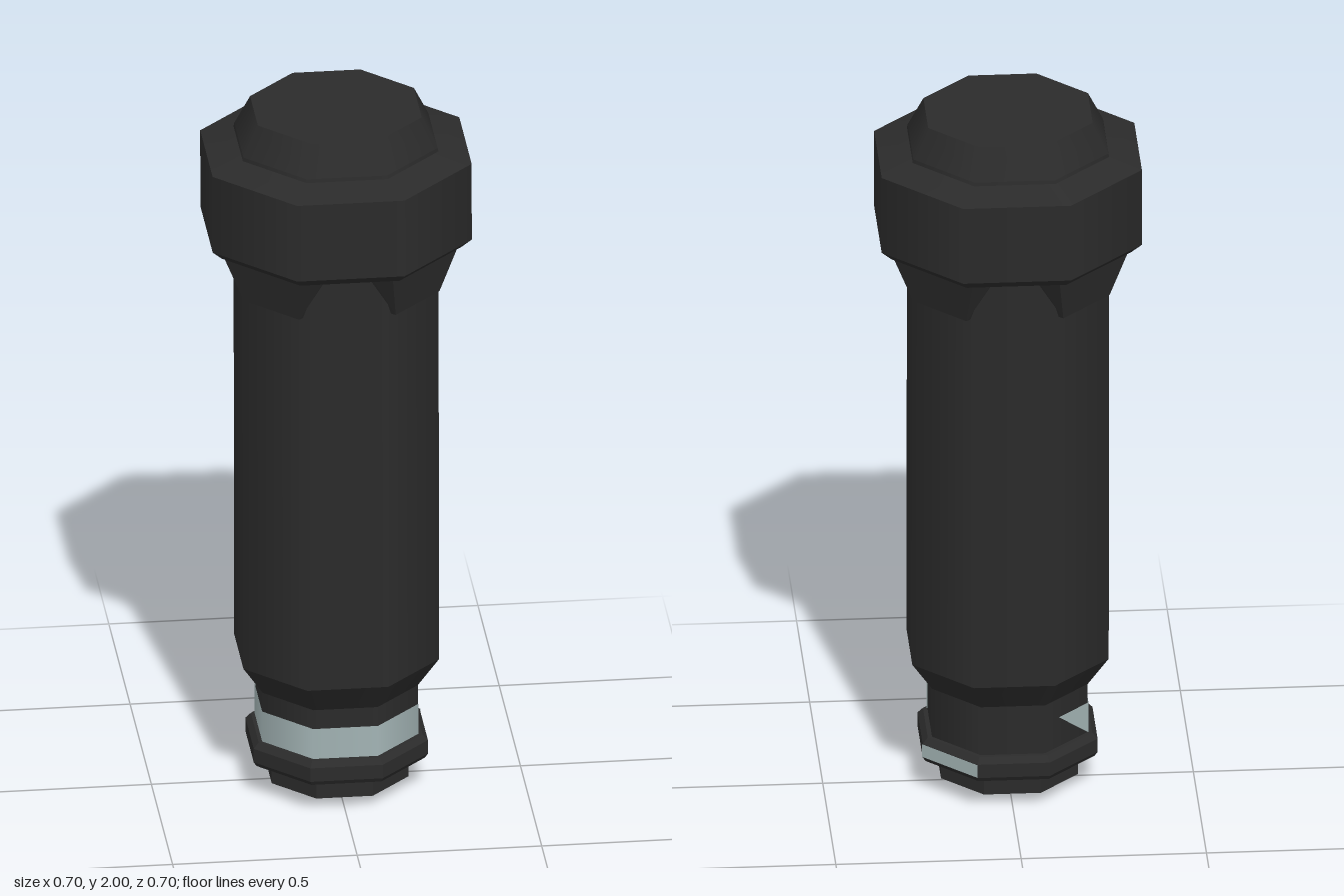
import * as THREE from 'three';
import { mergeGeometries } from 'three/addons/utils/BufferGeometryUtils.js';
import { ConvexGeometry } from 'three/addons/geometries/ConvexGeometry.js';

const STEP = Math.PI / 4;
const CORNER = 1 / Math.cos(STEP / 2); // flat-to-centre distance -> corner radius

// the whole piece leans slightly towards +z at its foot
const lean = new THREE.Matrix4().set(1, 0, 0, 0, 0, 1, 0, 0, 0, -0.01, 1, 0.02, 0, 0, 0, 1);

// octagonal bands from a bottom-to-top profile, creased between bands
function octagon(profile, firstFace = 0, faces = 8, flat = false) {
  const bands = [];
  for (let i = 0; i < profile.length - 1; i++) {
    const pts = [profile[i], profile[i + 1]].map(([r, y]) => new THREE.Vector2(r * CORNER, y));
    bands.push(new THREE.LatheGeometry(pts, faces, (firstFace - 0.5) * STEP, faces * STEP));
  }
  const merged = mergeGeometries(bands);
  if (!flat) return merged;
  const faceted = merged.toNonIndexed();
  faceted.computeVertexNormals();
  return faceted;
}

// a point on the octagon: apothem r, angle in face steps
function onOctagon(r, step, y) {
  const a = step * STEP;
  const k = r / Math.cos((step - Math.round(step)) * STEP);
  return [Math.sin(a) * k, y, Math.cos(a) * k];
}

export function createModel() {
  const group = new THREE.Group();
  const dark = new THREE.MeshStandardMaterial({ color: 0x2b2b2b });
  dark.name = 'darkMetal';
  const pale = new THREE.MeshStandardMaterial({ color: 0xa3b4b5, side: THREE.DoubleSide });
  pale.name = 'paleMetal';

  const add = (name, geometry, material) => {
    geometry.applyMatrix4(lean);
    const mesh = new THREE.Mesh(geometry, material);
    mesh.name = name;
    group.add(mesh);
  };

  // pointed foot and flange
  add('foot', octagon([[0, 0.003], [0.185, 0.035], [0.185, 0.1]], 0, 8, true), dark);
  add('flange', octagon([[0.18, 0.097], [0.228, 0.097], [0.236, 0.11], [0.236, 0.15],
    [0.222, 0.166], [0.2, 0.166]], 0, 8, true), dark);

  // neck, shaft and head
  add('neck', octagon([[0.21, 0.16], [0.21, 0.31]]), dark);
  add('shaft', octagon([[0.21, 0.31], [0.265, 0.395], [0.265, 1.65]]), dark);
  add('collar', octagon([[0.26, 1.63], [0.325, 1.63], [0.351, 1.655], [0.351, 1.88],
    [0.265, 1.905]]), dark);
  add('cap', octagon([[0.265, 1.905], [0.263, 1.915], [0.222, 2], [0, 2]]), dark);

  // tapered brackets under the collar, on the diagonal faces
  for (let i = 0; i < 4; i++) {
    const corners = [];
    for (const s of [-1, 1]) {
      corners.push(
        new THREE.Vector3(s * 0.145, 1.635, 0.31), new THREE.Vector3(s * 0.095, 1.5, 0.28),
        new THREE.Vector3(s * 0.155, 1.635, 0.23), new THREE.Vector3(s * 0.1, 1.5, 0.23));
    }
    const bracket = new ConvexGeometry(corners);
    bracket.rotateY((2 * i + 1) * STEP);
    add('bracket', bracket, dark);
  }

  // pale band round the front and one side of the neck
  add('neckBand', octagon([[0.212, 0.165], [0.212, 0.255]], -2, 4), pale);

  // the band's tapering end
  const tip = new THREE.BufferGeometry();
  tip.setAttribute('position', new THREE.Float32BufferAttribute([
    ...onOctagon(0.212, -2.5, 0.165), ...onOctagon(0.212, -2.5, 0.255),
    ...onOctagon(0.212, -3.2, 0.255)], 3));
  tip.setIndex([0, 1, 2]);
  tip.computeVertexNormals();
  add('bandTip', tip, pale);

  // pale patch on one rear face of the flange
  add('flangePatch', octagon([[0.238, 0.112], [0.238, 0.15]], 3, 1, true), pale);
  return group;
}
